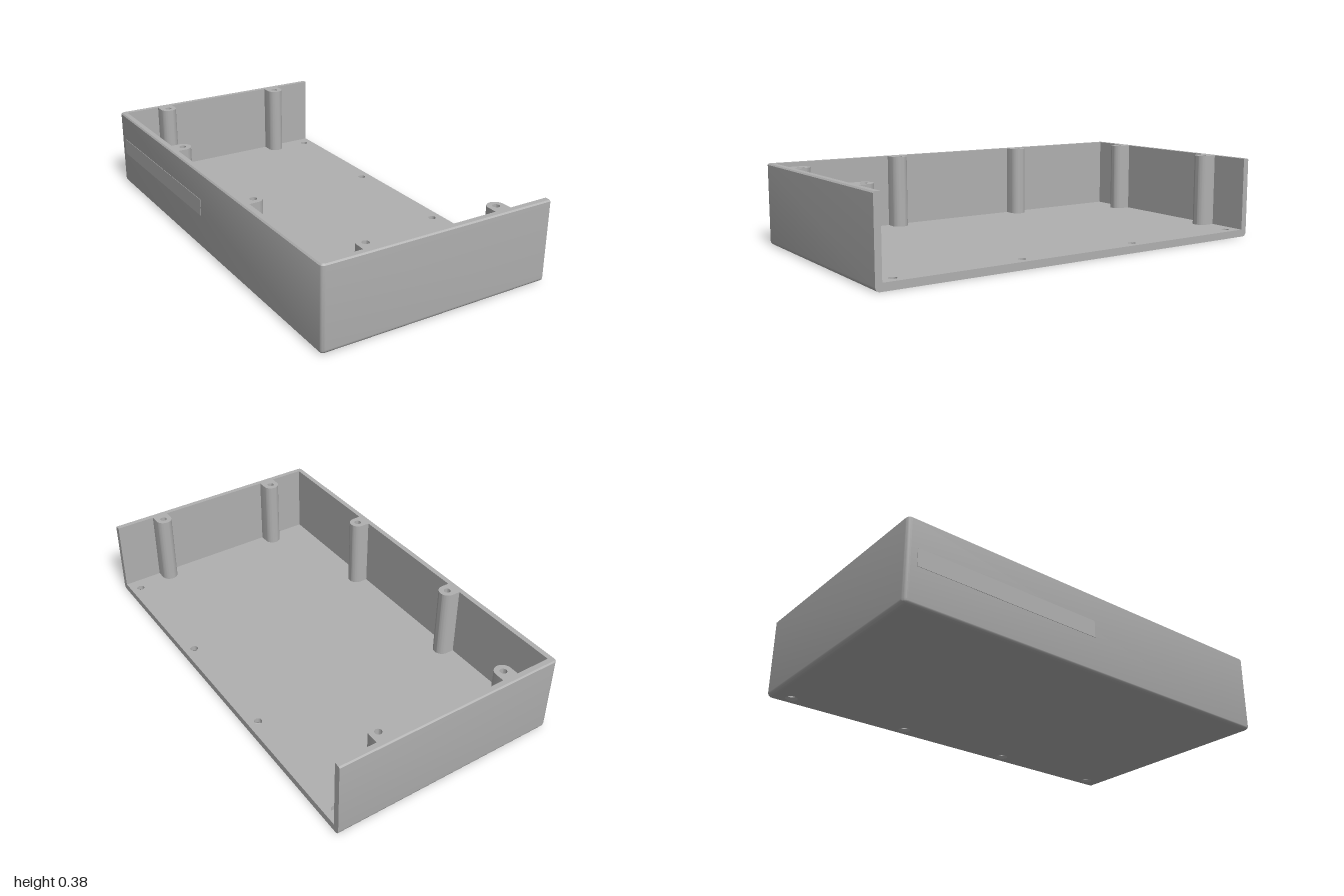
import * as THREE from 'three';
import { toCreasedNormals } from 'three/addons/utils/BufferGeometryUtils.js';

const W = 0.557, L = 1, H = 0.382; // half width, half length, height
const WALL = 0.03, FLOOR = 0.035, R = 0.02, BEVEL = 0.006;
const SCREWS = [-0.908, -0.305, 0.3, 0.902].map(z => [0.508, z]);

// Wall section as [inset, y]: rounded foot, outer face, bevelled rim, inner face
function wallProfile() {
  const pts = [];
  for (let i = 0; i <= 5; i++) {
    const a = (i / 5) * Math.PI / 2;
    pts.push([R - R * Math.sin(a), R - R * Math.cos(a)]);
  }
  pts.push([0, H - BEVEL], [BEVEL, H], [WALL, H], [WALL, FLOOR]);
  return pts;
}

// Plan of the three walls at a given inset, open on the +x side
function planLoop(d) {
  const r = Math.max(R - d, 0), pts = [[W, L - d]];
  for (const side of [1, -1]) {
    for (let i = 0; i <= 5; i++) {
      const a = (side > 0 ? Math.PI / 2 : Math.PI) + (i / 5) * Math.PI / 2;
      pts.push([-W + d + r + r * Math.cos(a), side * (L - d - r) + r * Math.sin(a)]);
    }
  }
  pts.push([W, -L + d]);
  return pts;
}

function wallsGeometry() {
  const rows = wallProfile().map(([d, y]) => planLoop(d).map(([x, z]) => [x, y, z]));
  const pos = [], index = [], n = rows[0].length;
  rows.forEach(row => row.forEach(p => pos.push(...p)));
  for (let i = 0; i < rows.length - 1; i++) {
    for (let j = 0; j < n - 1; j++) {
      const a = i * n + j, b = a + 1, c = b + n, d = a + n;
      index.push(a, d, c, a, c, b);
    }
  }
  const g = new THREE.BufferGeometry();
  g.setAttribute('position', new THREE.Float32BufferAttribute(pos, 3));
  g.setIndex(index);
  return toCreasedNormals(g, Math.PI / 6);
}

// Flat sheet with screw holes; up = 1 faces up, -1 faces down
function sheetGeometry(inset, holeRadius, up) {
  const x0 = -W + inset, z = L - inset;
  const s = new THREE.Shape([[x0, -z], [W, -z], [W, z], [x0, z]].map(p => new THREE.Vector2(...p)));
  for (const [hx, hz] of SCREWS) {
    s.holes.push(new THREE.Path().absarc(hx, -up * hz, holeRadius, 0, Math.PI * 2, true));
  }
  return new THREE.ShapeGeometry(s, 12).rotateX(-up * Math.PI / 2);
}

// Screw post: round nose with a straight stem reaching back to the wall
function postGeometry(stem) {
  const r = 0.04, s = new THREE.Shape();
  s.moveTo(-r, stem);
  s.lineTo(-r, 0);
  s.absarc(0, 0, r, Math.PI, Math.PI * 2, false);
  s.lineTo(r, stem);
  s.holes.push(new THREE.Path().absarc(0, 0, 0.016, 0, Math.PI * 2, true));
  const g = new THREE.ExtrudeGeometry(s, { depth: H - FLOOR, bevelEnabled: false, curveSegments: 14 });
  return toCreasedNormals(g.rotateX(-Math.PI / 2), Math.PI / 6);
}

export function createModel() {
  const model = new THREE.Group();
  model.name = 'enclosureTray';
  const grey = new THREE.MeshStandardMaterial({ color: 0xb0b0b0, side: THREE.DoubleSide });
  grey.name = 'grey';
  const add = (name, geometry, x = 0, y = 0, z = 0) => {
    const m = new THREE.Mesh(geometry, grey);
    m.name = name;
    m.position.set(x, y, z);
    model.add(m);
    return m;
  };

  add('walls', wallsGeometry());
  add('floor', sheetGeometry(WALL, 0.018, 1), 0, FLOOR, 0);
  add('underside', sheetGeometry(R, 0.028, -1));

  // Cut face on the open side
  const section = wallProfile().map(([d, y]) => new THREE.Vector2(L - d, y));
  const mirrored = section.map(p => new THREE.Vector2(-p.x, p.y)).reverse();
  const endShape = new THREE.Shape([...section, ...mirrored]);
  add('openEndFace', new THREE.ShapeGeometry(endShape).rotateY(Math.PI / 2), W, 0, 0);

  // Countersunk screw holes
  const bore = [[0.028, 0], [0.018, 0.012], [0.018, FLOOR]].map(p => new THREE.Vector2(...p));
  const boreGeometry = toCreasedNormals(new THREE.LatheGeometry(bore, 24), Math.PI / 6);
  for (const [x, z] of SCREWS) add('screwHole', boreGeometry, x, 0, z);

  // Posts on the front, back and side walls
  const endStem = 0.043, sideStem = 0.039;
  const endPost = postGeometry(endStem), sidePost = postGeometry(sideStem);
  for (const x of [-0.317, 0.326]) {
    add('backPost', endPost, x, FLOOR, -L + WALL + endStem);
    add('frontPost', endPost, x, FLOOR, L - WALL - endStem).rotation.y = Math.PI;
  }
  for (const z of [-0.36, 0.352]) {
    add('sidePost', sidePost, -W + WALL + sideStem, FLOOR, z).rotation.y = Math.PI / 2;
  }

  // Long shallow label panel on the closed side
  add('sidePanel', new THREE.BoxGeometry(0.004, 0.08, 0.92), -W, 0.21, -0.49);

  return model;
}
